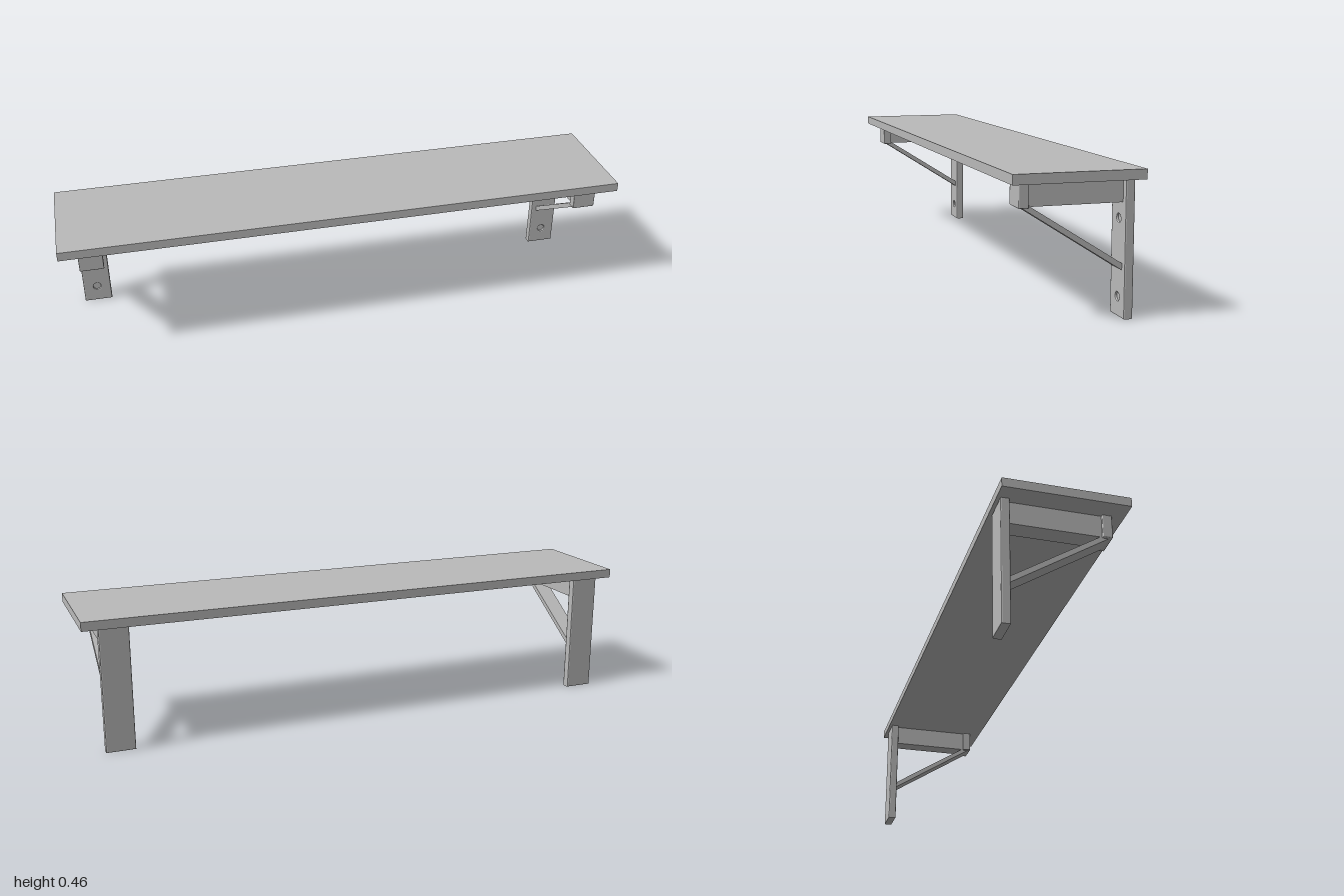
import * as THREE from 'three';
import { RoundedBoxGeometry } from 'three/addons/geometries/RoundedBoxGeometry.js';

const grey = new THREE.MeshStandardMaterial({ color: 0xbababa });
grey.name = 'plain grey';

function part(name, geometry, x = 0, y = 0, z = 0) {
  const mesh = new THREE.Mesh(geometry, grey);
  mesh.name = name;
  mesh.position.set(x, y, z);
  return mesh;
}

// Wall plate with two blind screw holes
const PLATE_W = 0.1, BEVEL = 0.004, HOLE_R = 0.016, HOLE_Y = [0.06, 0.3];
function plateGeometry() {
  const w = PLATE_W / 2 - BEVEL;
  const shape = new THREE.Shape([
    new THREE.Vector2(-w, BEVEL), new THREE.Vector2(w, BEVEL),
    new THREE.Vector2(w, 0.43 - BEVEL), new THREE.Vector2(-w, 0.43 - BEVEL),
  ]);
  for (const y of HOLE_Y) {
    shape.holes.push(new THREE.Path().absarc(0, y, HOLE_R + BEVEL / 2, 0, Math.PI * 2, true));
  }
  return new THREE.ExtrudeGeometry(shape, {
    depth: 0.03 - 2 * BEVEL, bevelThickness: BEVEL, bevelSize: BEVEL, bevelSegments: 2, curveSegments: 10,
  });
}

// Flat diagonal strip, its ends cut flush with the plate and the arm
function braceGeometry(width) {
  const shape = new THREE.Shape([
    new THREE.Vector2(-0.167, 0.146), new THREE.Vector2(0.158, 0.353),
    new THREE.Vector2(0.127, 0.353), new THREE.Vector2(-0.167, 0.167),
  ]);
  const geometry = new THREE.ExtrudeGeometry(shape, { depth: width, bevelEnabled: false });
  geometry.translate(0, 0, -width / 2);
  return geometry.rotateY(-Math.PI / 2);
}

function bracket(name, x) {
  const group = new THREE.Group();
  group.name = name;
  group.position.x = x;
  group.add(part('wallPlate', plateGeometry(), 0, 0, -0.195 + BEVEL));
  for (const y of HOLE_Y) {
    const screw = new THREE.CylinderGeometry(HOLE_R + 0.003, HOLE_R + 0.003, 0.023, 20).rotateX(Math.PI / 2);
    group.add(part('screw', screw, 0, y, -0.1835));
  }
  group.add(part('arm', new THREE.BoxGeometry(0.062, 0.077, 0.302), 0, 0.3915, -0.015));
  group.add(part('frontBlock', new RoundedBoxGeometry(0.082, 0.08, 0.032, 2, 0.003), 0, 0.39, 0.149));
  group.add(part('brace', braceGeometry(0.062)));
  return group;
}

export function createModel() {
  const model = new THREE.Group();
  model.name = 'wallShelf';
  model.add(part('board', new THREE.BoxGeometry(2, 0.031, 0.412), 0, 0.4445, 0));
  model.add(bracket('leftBracket', 0.895), bracket('rightBracket', -0.895));
  return model;
}
